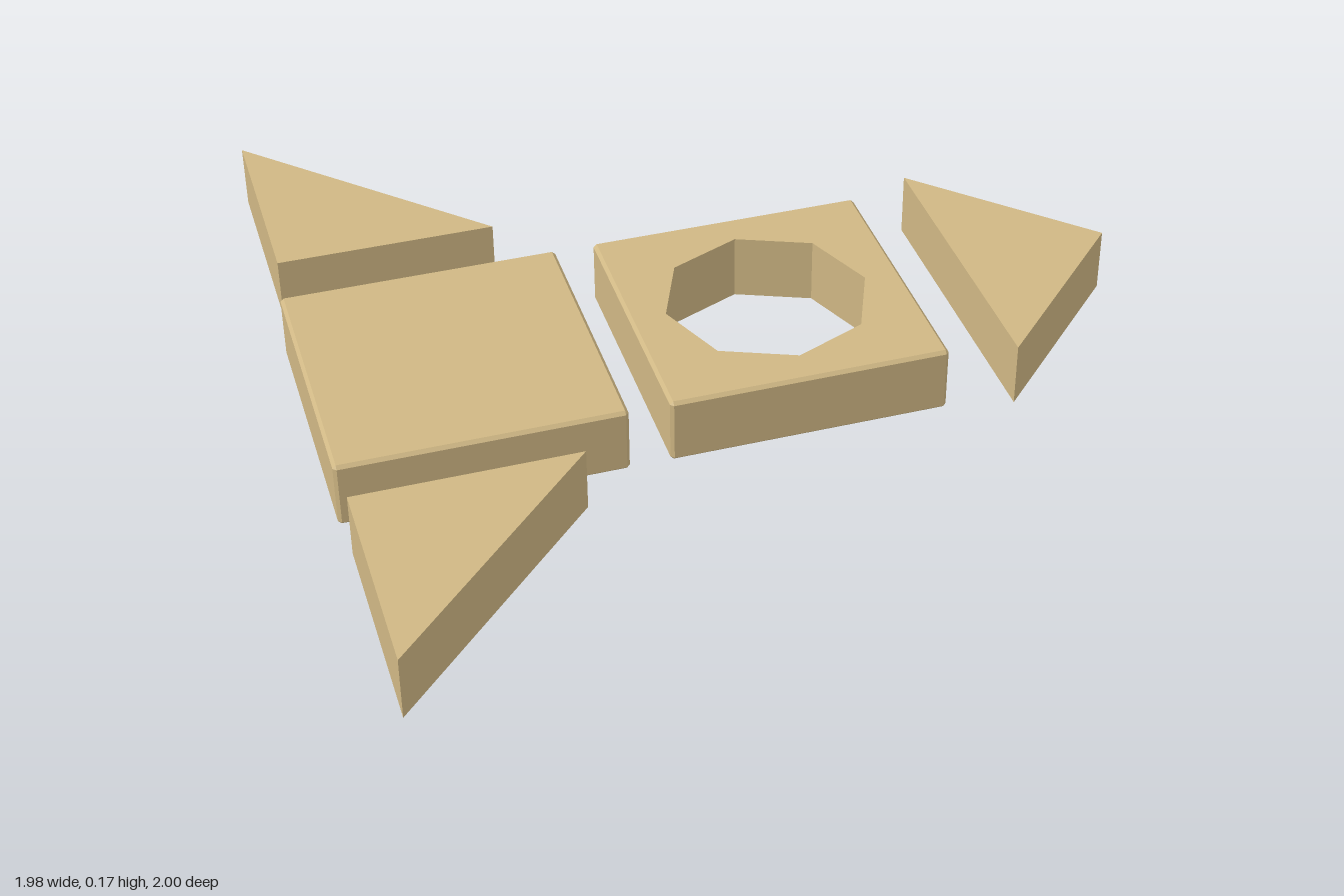
import * as THREE from 'three';

const material = new THREE.MeshStandardMaterial({ color: 0xcfb784, flatShading: true });

// Plan points are [x, z]; the shape is extruded upwards along y.
const plan = (points) => points.map(([x, z]) => new THREE.Vector2(x, -z));

function addMesh(group, name, geometry, x, y, z) {
  const mesh = new THREE.Mesh(geometry, material);
  mesh.name = name;
  mesh.position.set(x, y, z);
  group.add(mesh);
}

function prism(points, height) {
  const geometry = new THREE.ExtrudeGeometry(new THREE.Shape(plan(points)), { depth: height, bevelEnabled: false });
  return geometry.rotateX(-Math.PI / 2);
}

// Square block with chamfered outer edges and an optional sharp octagonal hole
function squareBlock(half, height, holeRadius = 0) {
  const c = 0.008, inner = half - c;
  const shape = new THREE.Shape(plan([
    [half, -inner], [half, inner], [inner, half], [-inner, half],
    [-half, inner], [-half, -inner], [-inner, -half], [inner, -half],
  ]));
  if (holeRadius) {
    const ring = [];
    for (let i = 0; i < 8; i++) {
      const a = -i * Math.PI / 4;
      ring.push([holeRadius * Math.cos(a), holeRadius * Math.sin(a)]);
    }
    shape.holes.push(new THREE.Path(plan(ring)));
  }
  const geometry = new THREE.ExtrudeGeometry(shape, { depth: 3, steps: 3, bevelEnabled: false });
  // Set the four levels, and draw in the outline at the top and bottom
  const levels = [0, c, height - c, height];
  const p = geometry.attributes.position;
  for (let i = 0; i < p.count; i++) {
    const level = Math.round(p.getZ(i));
    const limit = level === 0 || level === 3 ? inner : half;
    p.setXYZ(i,
      THREE.MathUtils.clamp(p.getX(i), -limit, limit),
      THREE.MathUtils.clamp(p.getY(i), -limit, limit),
      levels[level]);
  }
  geometry.computeVertexNormals();
  return geometry.rotateX(-Math.PI / 2);
}

export function createModel() {
  const group = new THREE.Group();
  group.name = 'blockSet';

  // Two square blocks in a row
  addMesh(group, 'solidBlock', squareBlock(0.338, 0.166), -0.653, 0, 0.01);
  addMesh(group, 'holedBlock', squareBlock(0.338, 0.166, 0.25), 0.12, 0, 0.01);

  // Triangular pieces: two fins and the nose
  const h = 0.16;
  addMesh(group, 'backFin', prism([[0, 0], [0.535, 0], [0, -0.535]], h), -0.972, 0.01, -0.465);
  addMesh(group, 'frontFin', prism([[0, 0], [0.535, 0], [0, 0.535]], h), -0.981, 0.01, 0.46);
  addMesh(group, 'nose', prism([[0, -0.379], [0.379, 0], [0, 0.379]], h), 0.612, 0.01, 0.008);

  return group;
}
